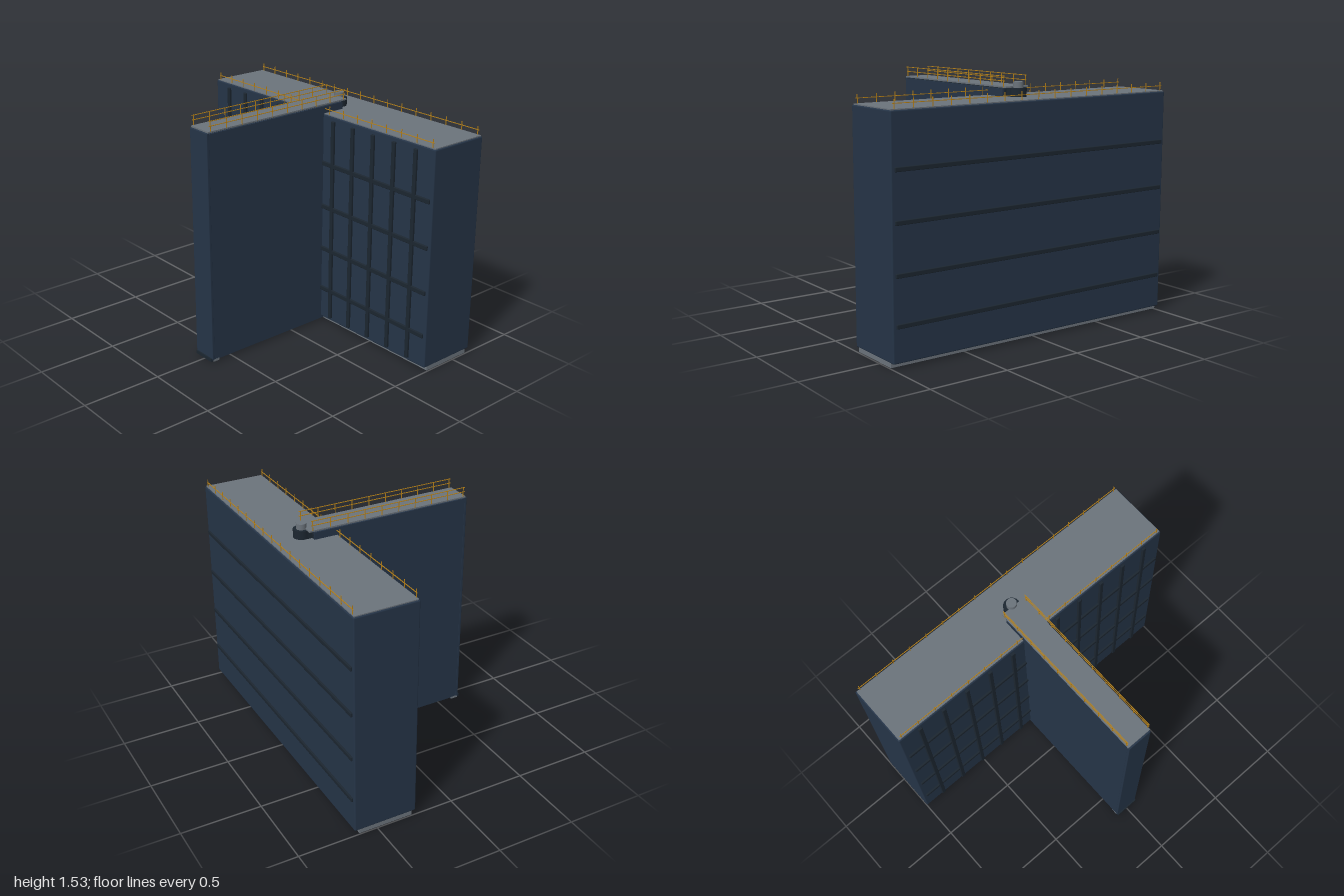
import * as THREE from 'three';
import { RoundedBoxGeometry } from 'three/addons/geometries/RoundedBoxGeometry.js';

export function createModel() {
  const model = new THREE.Group();
  model.name = 'hingedGate';

  const material = (name, color) => {
    const m = new THREE.MeshStandardMaterial({ color });
    m.name = name;
    return m;
  };
  const navy = material('navy steel', 0x253447);
  const dark = material('dark steel', 0x1c2630);
  const grey = material('deck grey', 0x6b737b);
  const gold = material('railing yellow', 0xb58018);

  const add = (name, geometry, mat, x, y, z, parent = model) => {
    const mesh = new THREE.Mesh(geometry, mat);
    mesh.name = name;
    mesh.position.set(x, y, z);
    parent.add(mesh);
    return mesh;
  };
  // Box given by its minimum and maximum corners; r rounds its edges
  const block = (name, mat, [x0, y0, z0], [x1, y1, z1], r = 0, parent = model) => {
    const s = [x1 - x0, y1 - y0, z1 - z0];
    const g = r ? new RoundedBoxGeometry(...s, 2, r) : new THREE.BoxGeometry(...s);
    return add(name, g, mat, (x0 + x1) / 2, (y0 + y1) / 2, (z0 + z1) / 2, parent);
  };
  const group = (name) => {
    const g = new THREE.Group();
    g.name = name;
    model.add(g);
    return g;
  };

  // Wide gate body with deck and sill
  block('gateBody', navy, [-1, 0.025, -0.645], [1, 1.402, -0.245], 0.008);
  block('gateDeck', grey, [-0.993, 1.395, -0.638], [0.993, 1.408, -0.252]);
  block('gateSill', grey, [-0.998, 0, -0.615], [0.998, 0.028, -0.272]);

  // Stiffener grid on the front, horizontal stiffeners on the back
  const ribs = group('stiffeners');
  for (const y of [0.235, 0.515, 0.803, 1.09]) {
    block('frontBeam', dark, [-0.98, y - 0.014, -0.25], [0.98, y + 0.014, -0.234], 0.004, ribs);
    block('backBeam', dark, [-0.98, y - 0.013, -0.655], [0.98, y + 0.013, -0.64], 0.004, ribs);
  }
  for (const side of [-1, 1]) {
    for (let i = 1; i <= 5; i++) {
      const x = side * i * 0.1715;
      block('frontRib', dark, [x - 0.013, 0.045, -0.25], [x + 0.013, 1.378, -0.231], 0.004, ribs);
    }
  }

  // Long projecting arm: side skins around a recessed core, open underneath
  const arm = group('arm');
  for (const side of [-1, 1]) {
    const x = side * 0.074;
    block('armSide', navy, [x - 0.006, 0.01, -0.4], [x + 0.006, 1.453, 0.635], 0, arm);
  }
  block('armCore', dark, [-0.07, 0.06, -0.4], [0.07, 1.45, 0.63], 0, arm);
  for (let i = 0; i < 9; i++) {
    const z = -0.2 + i * 0.095;
    block('armFrame', dark, [-0.07, 0.015, z - 0.006], [0.07, 0.065, z + 0.006], 0, arm);
  }
  block('armNose', navy, [-0.081, 0.008, 0.63], [0.081, 1.46, 0.648], 0.004, arm);
  block('armFoot', grey, [-0.081, 0, 0.595], [0.081, 0.014, 0.642], 0, arm);
  block('armFootSeal', dark, [-0.078, 0.002, 0.642], [0.078, 0.022, 0.656], 0, arm);
  block('armDeck', grey, [-0.082, 1.46, -0.433], [0.082, 1.469, 0.638], 0, arm);
  block('armHeel', dark, [-0.05, 1.4, -0.43], [0.05, 1.461, -0.39], 0, arm);

  // Pivot at the meeting of arm and gate
  const pivot = group('pivot');
  const cyl = (name, mat, r, y0, y1) =>
    add(name, new THREE.CylinderGeometry(r, r, y1 - y0, 24), mat, 0, (y0 + y1) / 2, -0.445, pivot);
  cyl('pivotCollar', dark, 0.05, 1.4, 1.46);
  cyl('pivotCap', grey, 0.031, 1.45, 1.495);
  cyl('bottomBearing', dark, 0.035, 0.0, 0.03).position.y -= 0.003;
  cyl('bottomPin', grey, 0.016, 0.0, 0.03).position.y -= 0.005;

  // Railings along both decks
  const railing = (name, count, from, to, y0, y1, heights, axis, offset) => {
    const g = group(name);
    const t = 0.002;
    const corner = (along, across, y) => (axis === 'x' ? [along, y, across] : [across, y, along]);
    for (let i = 0; i < count; i++) {
      const p = from + ((to - from) * i) / (count - 1);
      block('post', gold, corner(p - t, offset - t, y0), corner(p + t, offset + t, y1), 0, g);
    }
    for (const y of heights) {
      block('rail', gold, corner(from - 0.01, offset - t, y - t), corner(to + 0.01, offset + t, y + t), 0, g);
    }
  };
  railing('gateBackRailing', 17, -0.97, 0.97, 1.4, 1.459, [1.437], 'x', -0.634);
  railing('gateFrontRailing', 17, -0.97, 0.97, 1.4, 1.459, [1.437], 'x', -0.256);
  for (const side of [-1, 1]) {
    railing('armRailing', 10, -0.41, 0.62, 1.463, 1.53, [1.5, 1.528], 'z', side * 0.08);
  }

  return model;
}
